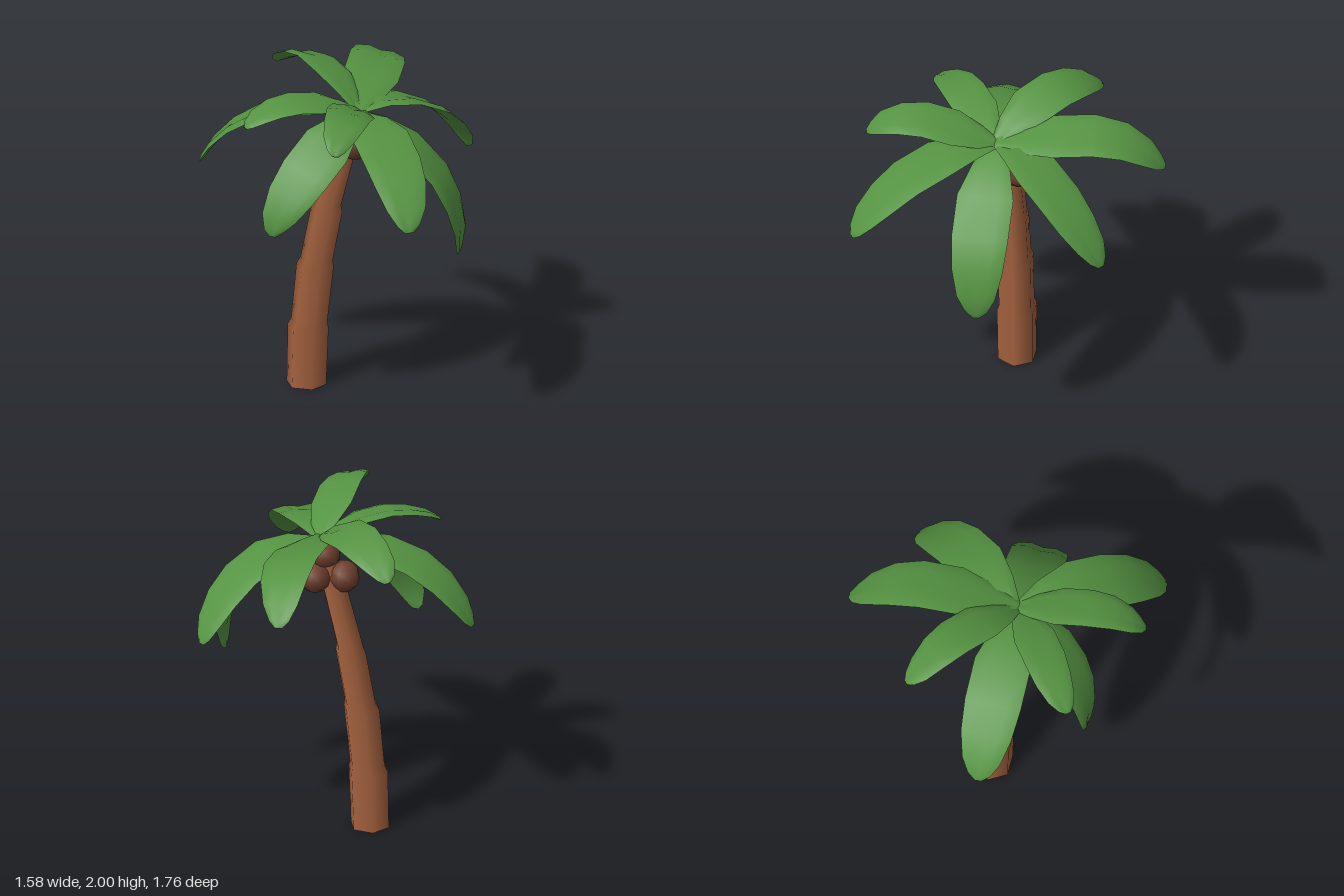
import * as THREE from 'three';

const leafGreen = new THREE.MeshStandardMaterial({ color: 0x559342 });
const barkBrown = new THREE.MeshStandardMaterial({ color: 0xa5623f });
const coconutBrown = new THREE.MeshStandardMaterial({ color: 0x6f3f2e });

// Trunk rings from the ground up: height, centre x, radius
const TRUNK = [
  [0, -0.167, 0.119], [0.36, -0.157, 0.123], [0.4, -0.15, 0.109],
  [0.75, -0.115, 0.112], [0.79, -0.106, 0.097], [1.1, -0.047, 0.096],
  [1.14, -0.043, 0.084], [1.5, 0.052, 0.078], [1.77, 0.13, 0.072],
];

// Leaning six-sided trunk: a unit cylinder whose rows and caps follow the rings
function makeTrunk() {
  const rows = TRUNK.length - 1;
  const geo = new THREE.CylinderGeometry(1, 1, 1, 6, rows, false, Math.PI / 6);
  const pos = geo.attributes.position;
  for (let k = 0; k < pos.count; k++) {
    const [y, x, r] = TRUNK[Math.round((pos.getY(k) + 0.5) * rows)];
    pos.setXYZ(k, x + pos.getX(k) * r, y, 0.038 + pos.getZ(k) * r);
  }
  const trunk = new THREE.Mesh(geo, barkBrown);
  trunk.name = 'trunk';
  return trunk;
}

// Leaf outline: position along the spine, share of the half width
const OUTLINE = [
  [0, 0.24], [0.15, 0.66], [0.33, 1], [0.55, 1], [0.72, 0.9], [0.87, 0.68], [0.96, 0.4], [1, 0.15],
];
// Cross-section: position across, top height, bottom height
const SECTION = [
  [-1, 0, 0], [-0.5, 0.017, -0.009], [0, 0.006, -0.018], [0.5, 0.017, -0.009], [1, 0, 0],
];

// Thin closed leaf along a drooping spine, with a grooved midrib
function makeLeaf({ spine, half, roll = 0 }) {
  const curve = new THREE.CatmullRomCurve3(spine.map((p) => new THREE.Vector3(...p)));
  const first = spine[0];
  const last = spine[spine.length - 1];
  const side = new THREE.Vector3(last[2] - first[2], 0, first[0] - last[0]).normalize();
  const positions = [];
  const index = [];
  const n = SECTION.length;
  for (const face of [1, 2]) {
    const base = positions.length / 3;
    OUTLINE.forEach(([t, w], i) => {
      const centre = curve.getPointAt(t);
      const tangent = curve.getTangentAt(t);
      const across = side.clone().applyAxisAngle(tangent, -roll);
      const up = new THREE.Vector3().crossVectors(tangent, across).normalize();
      for (const s of SECTION) {
        const p = centre.clone().addScaledVector(across, s[0] * half * w);
        p.addScaledVector(up, s[face] * Math.min(1, w + 0.3));
        positions.push(p.x, p.y, p.z);
      }
      if (i === 0) return;
      for (let j = 0; j < n - 1; j++) {
        const a = base + (i - 1) * n + j;
        const [b, c, d] = [a + 1, a + n, a + n + 1];
        if (face === 1) index.push(a, c, b, b, c, d);
        else index.push(a, b, c, b, d, c);
      }
    });
  }
  // Close the root and the tip
  const total = OUTLINE.length * n;
  for (let j = 0; j < n - 1; j++) {
    const e = total - n + j;
    index.push(j, j + 1, total + j, j + 1, total + j + 1, total + j);
    index.push(e, total + e, e + 1, e + 1, total + e, total + e + 1);
  }
  const geo = new THREE.BufferGeometry();
  geo.setAttribute('position', new THREE.Float32BufferAttribute(positions, 3));
  geo.setIndex(index);
  geo.computeVertexNormals();
  return new THREE.Mesh(geo, leafGreen);
}

// Spines run from the crown to the tip; roll tips a leaf about its spine
const LEAVES = {
  leafRight: { half: 0.167, spine: [[0.17, 1.76, 0.1], [0, 1.785, 0.103], [-0.27, 1.765, 0.103], [-0.52, 1.67, 0.105], [-0.72, 1.48, 0.105], [-0.785, 1.37, 0.105]] },
  leafLeft: { half: 0.167, spine: [[0.14, 1.77, 0.1], [0.35, 1.69, 0.105], [0.52, 1.57, 0.107], [0.69, 1.37, 0.107], [0.775, 1.1, 0.107], [0.765, 0.95, 0.107]] },
  leafBack: { half: 0.163, roll: -0.22, spine: [[0.17, 1.78, 0.12], [0.155, 1.83, -0.1], [0.145, 1.875, -0.33], [0.115, 1.875, -0.55], [0.08, 1.795, -0.73], [0.04, 1.65, -0.875]] },
  leafBackLeft: { half: 0.155, spine: [[0.16, 1.77, 0.09], [0.28, 1.8, -0.06], [0.42, 1.74, -0.24], [0.54, 1.6, -0.41], [0.61, 1.43, -0.55], [0.63, 1.32, -0.61]] },
  leafFrontLeft: { half: 0.172, spine: [[0.17, 1.77, 0.11], [0.28, 1.79, 0.27], [0.43, 1.74, 0.49], [0.57, 1.6, 0.69], [0.65, 1.45, 0.82], [0.67, 1.37, 0.86]] },
  leafFront: { half: 0.132, roll: 0.26, spine: [[0.17, 1.77, 0.08], [0.19, 1.85, 0.27], [0.205, 1.915, 0.46], [0.22, 1.925, 0.62], [0.22, 1.87, 0.78], [0.22, 1.8, 0.855]] },
  leafFrontRight: { half: 0.125, roll: 0.15, spine: [[0.17, 1.77, 0.1], [0.03, 1.85, 0.21], [-0.11, 1.89, 0.32], [-0.25, 1.88, 0.42], [-0.36, 1.83, 0.51], [-0.4, 1.79, 0.55]] },
  leafFrontRightLow: { half: 0.155, roll: 0.55, spine: [[0.18, 1.75, 0.1], [0.09, 1.7, 0.28], [-0.01, 1.58, 0.44], [-0.11, 1.42, 0.56], [-0.19, 1.25, 0.615], [-0.22, 1.15, 0.61]] },
  leafBackRight: { half: 0.135, roll: -0.28, spine: [[0.16, 1.78, 0.1], [0.05, 1.88, 0], [-0.1, 1.955, -0.13], [-0.24, 1.955, -0.25], [-0.4, 1.88, -0.36], [-0.46, 1.82, -0.41]] },
};

const COCONUTS = [[0.15, 1.58, -0.03], [-0.005, 1.58, 0.04], [0.145, 1.58, 0.13], [0.11, 1.715, 0.027]];

export function createModel() {
  const palm = new THREE.Group();
  palm.name = 'palmTree';
  palm.add(makeTrunk());

  const crown = new THREE.Group();
  crown.name = 'crown';
  for (const [name, spec] of Object.entries(LEAVES)) {
    const leaf = makeLeaf(spec);
    leaf.name = name;
    crown.add(leaf);
  }
  palm.add(crown);

  // Cluster of coconuts under the crown
  const nuts = new THREE.Group();
  nuts.name = 'coconuts';
  for (const p of COCONUTS) {
    const nut = new THREE.Mesh(new THREE.SphereGeometry(0.095, 8, 6), coconutBrown);
    nut.name = 'coconut';
    nut.position.set(...p);
    nuts.add(nut);
  }
  palm.add(nuts);
  return palm;
}
